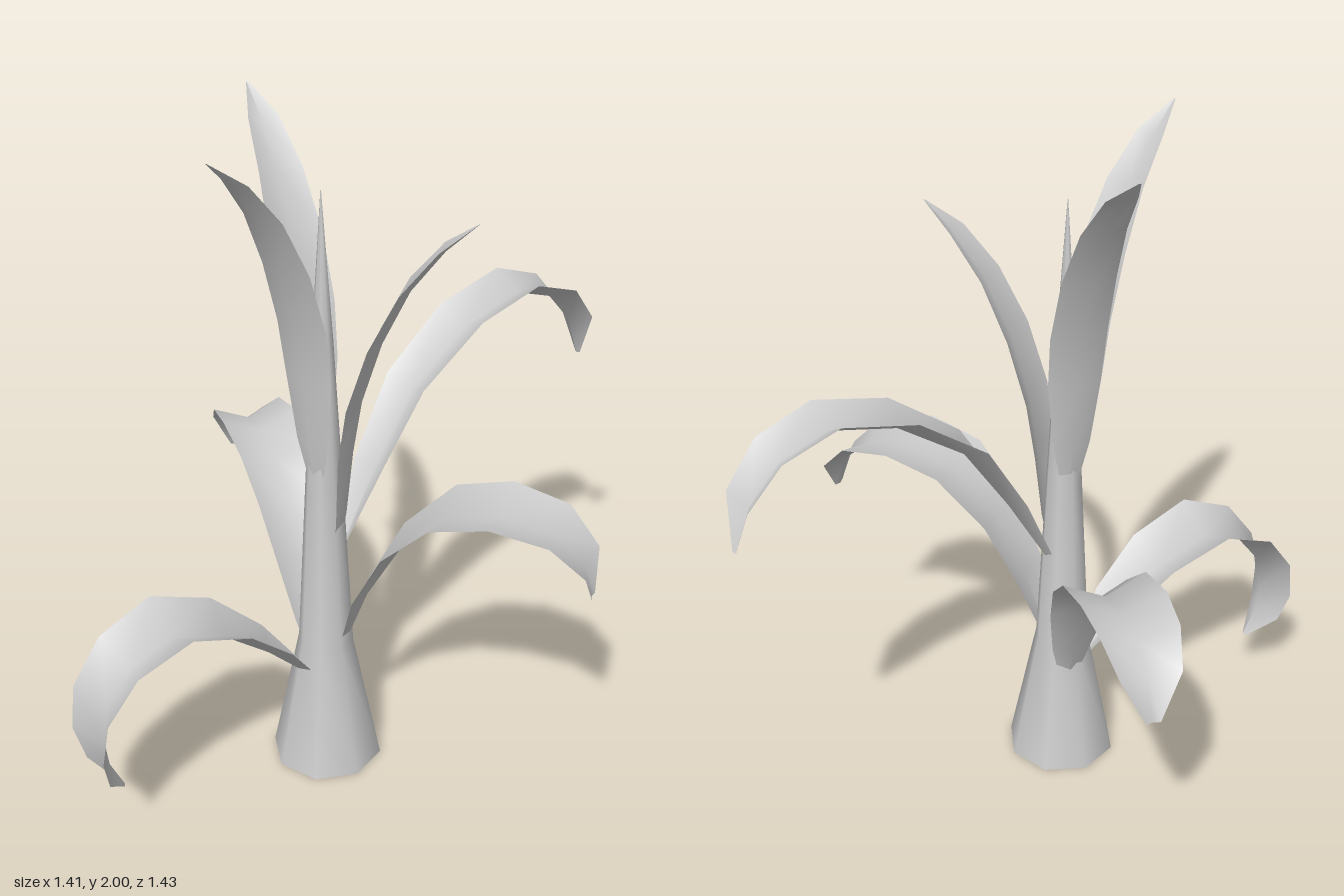
import * as THREE from 'three';

const AXIS = [-0.08, 0.08]; // stalk position in x, z

// Leaf folded along its midrib. Spine rows are [distance from stalk, height, half width].
function leaf(name, dirX, dirZ, fold, spine) {
  const len = Math.hypot(dirX, dirZ);
  const dx = dirX / len, dz = dirZ / len;
  const pos = [], index = [];
  spine.forEach(([r, y, w], i) => {
    const a = spine[Math.max(i - 1, 0)], b = spine[Math.min(i + 1, spine.length - 1)];
    const t = Math.hypot(b[0] - a[0], b[1] - a[1]);
    const nr = -(b[1] - a[1]) / t, ny = (b[0] - a[0]) / t; // upper side of the spine
    for (const s of [-1, 0, 1]) {
      const lift = s === 0 ? 0 : fold * w;
      const rr = r + nr * lift;
      pos.push(AXIS[0] + dx * rr - dz * w * s, y + ny * lift, AXIS[1] + dz * rr + dx * w * s);
    }
    if (i === 0) return;
    for (let k = 0; k < 2; k++) {
      const p = (i - 1) * 3 + k, q = p + 3;
      index.push(p, p + 1, q, p + 1, q + 1, q);
    }
  });
  const geo = new THREE.BufferGeometry();
  geo.setAttribute('position', new THREE.Float32BufferAttribute(pos, 3));
  geo.setIndex(index);
  geo.computeVertexNormals();
  const mesh = new THREE.Mesh(geo, new THREE.MeshStandardMaterial({ color: 0xcccccc, side: THREE.DoubleSide }));
  mesh.name = name;
  return mesh;
}

export function createModel() {
  const group = new THREE.Group();
  group.name = 'leafyPlant';

  // Tapering stalk, open underneath, ending in a thin spike
  const profile = [[0.168, 0], [0.083, 0.42], [0.055, 0.95], [0.03, 1.4], [0.001, 1.82]];
  const stalk = new THREE.Mesh(
    new THREE.LatheGeometry(profile.map(([x, y]) => new THREE.Vector2(x, y)), 8),
    new THREE.MeshStandardMaterial({ color: 0xcccccc, side: THREE.DoubleSide })
  );
  stalk.name = 'stalk';
  stalk.position.set(AXIS[0], 0, AXIS[1]);
  group.add(stalk);

  // Drooping lower leaves
  group.add(
    leaf('backLowerLeaf', -0.44, -0.65, 0.42, [
      [0.07, 0.27, 0.02], [0.12, 0.42, 0.06], [0.2, 0.59, 0.09], [0.29, 0.73, 0.11],
      [0.4, 0.82, 0.12], [0.54, 0.855, 0.12], [0.65, 0.845, 0.11], [0.73, 0.79, 0.085], [0.78, 0.68, 0.02]]),
    leaf('backUpperLeaf', 0.65, -0.77, 0.55, [
      [0.05, 0.7, 0.02], [0.19, 0.94, 0.06], [0.33, 1.15, 0.08], [0.53, 1.29, 0.09],
      [0.73, 1.34, 0.09], [0.87, 1.29, 0.085], [0.96, 1.19, 0.07], [1.01, 1.06, 0.01]]),
    leaf('sideLowerLeaf', 0.78, 0.12, 0.27, [
      [0.05, 0.38, 0.02], [0.13, 0.6, 0.08], [0.23, 0.78, 0.11], [0.37, 0.91, 0.135],
      [0.52, 0.945, 0.14], [0.67, 0.92, 0.125], [0.76, 0.84, 0.09], [0.785, 0.745, 0.02]]),
    leaf('frontLowerLeaf', -1, 1, 0.5, [
      [0.07, 0.31, 0.03], [0.2, 0.44, 0.09], [0.35, 0.56, 0.12], [0.51, 0.62, 0.13],
      [0.64, 0.57, 0.12], [0.72, 0.47, 0.11], [0.74, 0.36, 0.1], [0.73, 0.27, 0.075], [0.69, 0.18, 0.01]])
  );

  // Upright top leaves, all sharing one curve
  const upright = [
    [0.035, 0.92, 0.015], [0.065, 1.1, 0.055], [0.085, 1.3, 0.08], [0.11, 1.46, 0.085],
    [0.165, 1.64, 0.08], [0.24, 1.8, 0.065], [0.33, 1.92, 0.045], [0.415, 2, 0.003]];
  const tops = [
    ['frontTopLeaf', -0.19, 0.365, 0], ['backTopLeaf', -0.27, -0.315, 0], ['sideTopLeaf', 0.415, 0.02, -0.235]];
  for (const [name, dx, dz, drop] of tops) {
    group.add(leaf(name, dx, dz, 0.3, upright.map(([r, y, w]) => [r, y + drop, w])));
  }
  return group;
}
